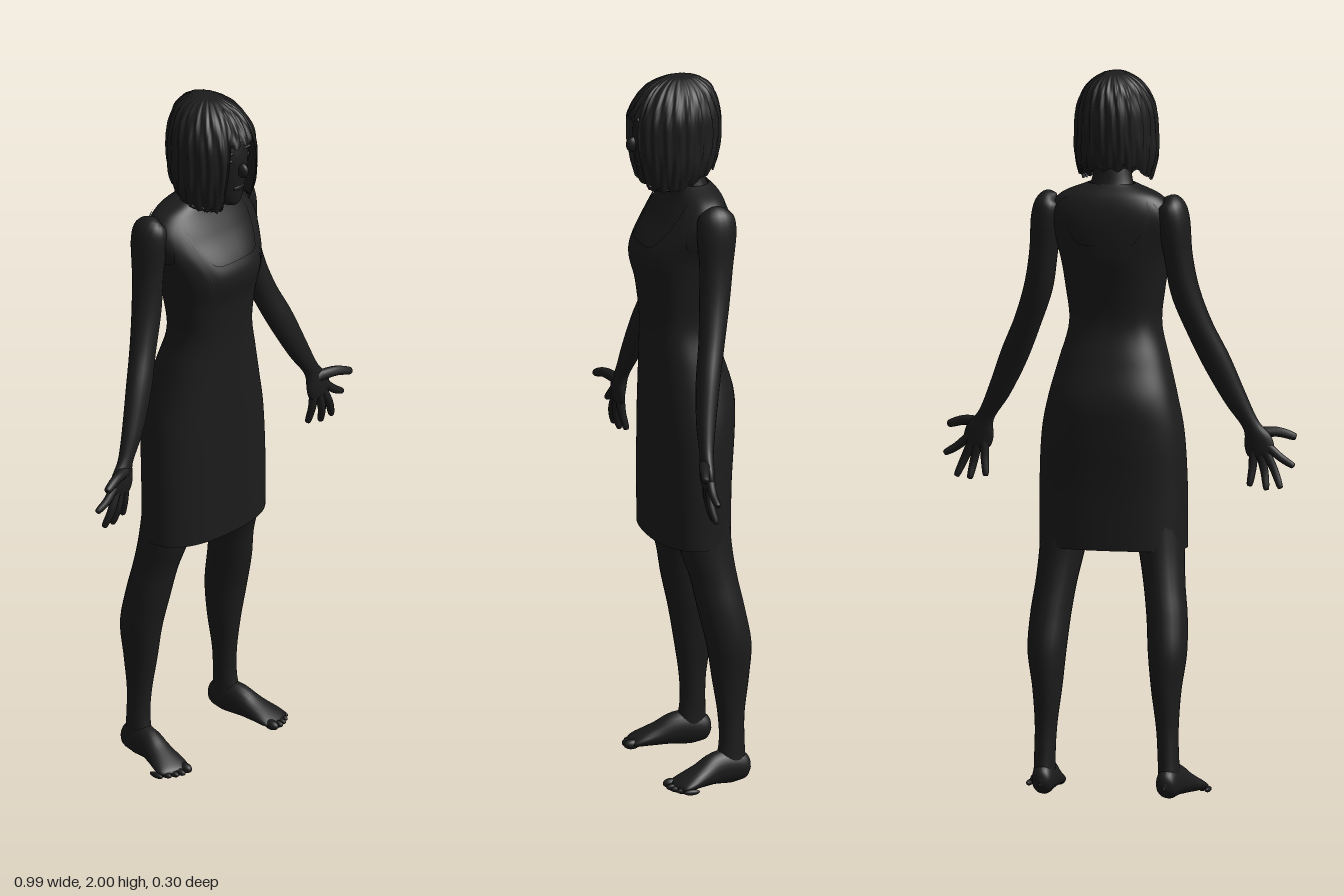
import * as THREE from 'three';

const charcoal = new THREE.MeshStandardMaterial({ color: 0x1c1c1c, side: THREE.DoubleSide });
charcoal.name = 'charcoal';

const V = (x, y, z) => new THREE.Vector3(x, y, z);
const curve = (pts) => new THREE.CatmullRomCurve3(pts, false, 'catmullrom', 0.5);
const power = (v, e) => Math.sign(v) * Math.abs(v) ** e;

function mesh(name, geometry, parent) {
  const m = new THREE.Mesh(geometry, charcoal);
  m.name = name;
  parent.add(m);
  return m;
}

// Closed-around surface from fn(t, angle), t running 0..1
function surface(fn, rows, sides) {
  const pos = [], idx = [];
  for (let i = 0; i <= rows; i++) {
    for (let j = 0; j < sides; j++) {
      pos.push(...fn(i / rows, (j / sides) * Math.PI * 2).toArray());
      if (i === rows) continue;
      const k = (j + 1) % sides, a = i * sides + j, b = i * sides + k;
      idx.push(a, b, a + sides, b, b + sides, a + sides);
    }
  }
  const g = new THREE.BufferGeometry();
  g.setAttribute('position', new THREE.Float32BufferAttribute(pos, 3));
  g.setIndex(idx);
  g.computeVertexNormals();
  return g;
}

// Level rings [x, y, z, halfWidth, halfDepth]; angle 0 faces the front
function rings(list, e = 1) {
  const centre = curve(list.map((r) => V(r[0], r[1], r[2])));
  const size = curve(list.map((r) => V(r[3], r[4], 0)));
  return (t, a, grow = 0) => {
    const c = centre.getPoint(t), s = size.getPoint(t);
    return V(c.x + (Math.max(s.x, 0) + grow) * power(Math.sin(a), e), c.y,
      c.z + (Math.max(s.y, 0) + grow) * power(Math.cos(a), e));
  };
}

// Rings set square to a path; same list layout, ref is the depth direction
function sweep(list, ref = V(0, 0, 1), rows = 32, sides = 16) {
  const centre = curve(list.map((r) => V(r[0], r[1], r[2])));
  const size = curve(list.map((r) => V(r[3], r[4], 0)));
  return surface((t, a) => {
    const T = centre.getTangent(t), s = size.getPoint(t);
    const side = ref.clone().cross(T).normalize();
    const depth = T.clone().cross(side);
    return centre.getPoint(t)
      .addScaledVector(side, Math.max(s.x, 0) * Math.cos(a))
      .addScaledVector(depth, Math.max(s.y, 0) * Math.sin(a));
  }, rows, sides);
}

function blob(name, x, y, z, rx, ry, rz, parent) {
  const m = mesh(name, new THREE.SphereGeometry(1, 20, 14), parent);
  m.position.set(x, y, z);
  m.scale.set(rx, ry, rz);
}

function buildSide() {
  const side = new THREE.Group();

  mesh('leg', surface(rings([
    [0.11, 0.95, -0.02, 0.08, 0.09], [0.125, 0.8, -0.02, 0.072, 0.08],
    [0.14, 0.68, -0.03, 0.063, 0.074], [0.152, 0.59, -0.05, 0.057, 0.066],
    [0.164, 0.5, -0.068, 0.056, 0.066], [0.17, 0.4, -0.088, 0.053, 0.063],
    [0.168, 0.3, -0.093, 0.041, 0.052], [0.171, 0.2, -0.094, 0.031, 0.038],
    [0.174, 0.12, -0.095, 0.029, 0.036], [0.176, 0.05, -0.09, 0.03, 0.045],
  ]), 44, 24), side);

  mesh('foot', sweep([
    [0.175, 0.035, -0.148, 0.004, 0.006], [0.175, 0.038, -0.135, 0.025, 0.032],
    [0.176, 0.047, -0.1, 0.032, 0.047], [0.18, 0.047, -0.05, 0.034, 0.046],
    [0.19, 0.033, 0, 0.041, 0.032], [0.2, 0.021, 0.045, 0.049, 0.02],
    [0.205, 0.014, 0.07, 0.045, 0.012], [0.207, 0.012, 0.08, 0.02, 0.006],
  ], V(0, 1, 0), 32, 24), side);
  for (let i = 0; i < 5; i++) {
    const r = i ? 0.0105 - i * 0.0006 : 0.014;
    blob('toe', 0.174 + i * 0.0185 + (i ? 0.004 : 0), r, 0.08 - i * i * 0.0022, r, r, 0.023, side);
  }

  // Shoulder through elbow and wrist to the palm
  mesh('arm', sweep([
    [0.155, 1.662, -0.05, 0.004, 0.004], [0.168, 1.645, -0.05, 0.035, 0.045],
    [0.178, 1.6, -0.05, 0.044, 0.056], [0.19, 1.5, -0.045, 0.039, 0.047],
    [0.207, 1.4, -0.034, 0.04, 0.042], [0.242, 1.3, -0.015, 0.038, 0.036],
    [0.286, 1.2, 0.01, 0.039, 0.033], [0.332, 1.1, 0.03, 0.032, 0.027],
    [0.373, 1.025, 0.042, 0.024, 0.019], [0.392, 0.98, 0.047, 0.04, 0.018],
    [0.4, 0.945, 0.047, 0.038, 0.014], [0.403, 0.928, 0.046, 0.015, 0.006],
  ], V(0, 0, 1), 56, 20), side);

  // Thumb outward, fingers fanned downward: base, middle, tip
  const fingers = [
    [[0.385, 1.0, 0.052], [0.44, 1.003, 0.07], [0.492, 0.988, 0.083]],
    [[0.415, 0.97, 0.046], [0.455, 0.935, 0.05], [0.494, 0.912, 0.047]],
    [[0.413, 0.952, 0.046], [0.437, 0.9, 0.05], [0.458, 0.85, 0.04]],
    [[0.398, 0.95, 0.046], [0.41, 0.895, 0.048], [0.419, 0.845, 0.035]],
    [[0.38, 0.95, 0.046], [0.378, 0.905, 0.042], [0.372, 0.855, 0.03]],
  ];
  fingers.forEach(([b, m, t], i) => {
    const r = i ? 0.0115 : 0.014;
    const near = t.map((v, k) => v + (m[k] - v) * 0.12);
    mesh(i ? 'finger' : 'thumb', sweep([
      [...b, r * 1.15, r * 1.1], [...m, r, r], [...near, r * 0.75, r * 0.75], [...t, 0.001, 0.001],
    ], V(0, 0, 1), 14, 10), side);
  });
  return side;
}

export function createModel() {
  const model = new THREE.Group();
  model.name = 'standingWoman';

  // Torso: the dress follows the same surface a little further out
  const body = rings([
    [0, 0.685, -0.013, 0.202, 0.108], [0, 0.85, -0.014, 0.202, 0.11],
    [0, 1.0, -0.019, 0.194, 0.116], [0, 1.1, -0.019, 0.175, 0.117],
    [0, 1.2, -0.005, 0.149, 0.103], [0, 1.3, 0.009, 0.124, 0.091],
    [0, 1.4, 0.008, 0.133, 0.103], [0, 1.5, 0.005, 0.15, 0.123],
    [0, 1.6, -0.028, 0.18, 0.094], [0, 1.66, -0.04, 0.145, 0.068],
    [0, 1.695, -0.033, 0.066, 0.045],
  ], 0.86);
  mesh('torso', surface((t, a) => body(0.5 + t * 0.5, a), 40, 64), model);
  // Shoulder straps rise beside a scooped neckline, front and back
  const dressTop = (a) => 0.73 + 0.17 * Math.exp(-(((Math.abs(Math.sin(a)) - 0.72) / 0.16) ** 2));
  mesh('dress', surface((t, a) => body(t * dressTop(a), a, 0.004), 64, 96), model);

  mesh('neck', surface(rings([
    [0, 1.66, -0.038, 0.075, 0.05], [0, 1.7, -0.032, 0.058, 0.042],
    [0, 1.75, -0.018, 0.05, 0.045], [0, 1.8, 0, 0.05, 0.045],
  ]), 16, 24), model);

  // Head and face
  mesh('head', surface(rings([
    [0, 1.693, 0.09, 0.004, 0.004], [0, 1.705, 0.078, 0.03, 0.036],
    [0, 1.75, 0.05, 0.058, 0.073], [0, 1.8, 0.03, 0.072, 0.1],
    [0, 1.86, 0.022, 0.078, 0.108], [0, 1.92, 0.012, 0.074, 0.095],
    [0, 1.97, 0, 0.04, 0.05],
  ]), 36, 32), model);
  blob('nose', 0, 1.812, 0.133, 0.013, 0.022, 0.02, model);
  blob('lips', 0, 1.757, 0.119, 0.022, 0.009, 0.008, model);
  for (const s of [-1, 1]) {
    blob('eye', s * 0.031, 1.845, 0.116, 0.014, 0.007, 0.008, model);
    blob('brow', s * 0.033, 1.868, 0.117, 0.021, 0.005, 0.007, model);
  }

  // Bobbed hair: open over the face, shorter at the nape, rippled into locks
  const bob = rings([
    [0, 2.0, 0, 0, 0], [0, 1.992, 0, 0.036, 0.052], [0, 1.96, 0.006, 0.077, 0.098],
    [0, 1.9, 0.015, 0.106, 0.126], [0, 1.83, 0.018, 0.112, 0.132],
    [0, 1.76, 0.02, 0.112, 0.122], [0, 1.69, 0.025, 0.094, 0.098],
  ]);
  const hairEnd = (a) => {
    const f = Math.min(a, Math.PI * 2 - a);
    const face = 1 - THREE.MathUtils.smoothstep(f, 0.42, 0.62);
    const nape = THREE.MathUtils.smoothstep(f, 1.2, 2.6);
    return 1 - 0.48 * face - 0.11 * nape + 0.012 * Math.sin(a * 17);
  };
  mesh('hair', surface((t, a) => {
    const strand = Math.sin(a * 24 + 2 * Math.sin(t * 7)) + 0.6 * Math.sin(a * 41 - t * 5);
    return bob(t * hairEnd(a), a, 0.0028 * strand * Math.min(1, t * 2.5));
  }, 48, 160), model);
  // Underside of the hair at the nape
  mesh('hairUnderside', surface((t, a) => {
    const p = bob(hairEnd(a) * 0.97, a);
    return V(p.x * (1 - t * 0.5), p.y + t * 0.03, 0.02 + (p.z - 0.02) * (1 - t * 0.5));
  }, 6, 96), model);

  // Limbs on both sides
  const left = buildSide();
  left.name = 'leftLimbs';
  const right = left.clone();
  right.name = 'rightLimbs';
  right.scale.x = -1;
  model.add(left, right);
  return model;
}
